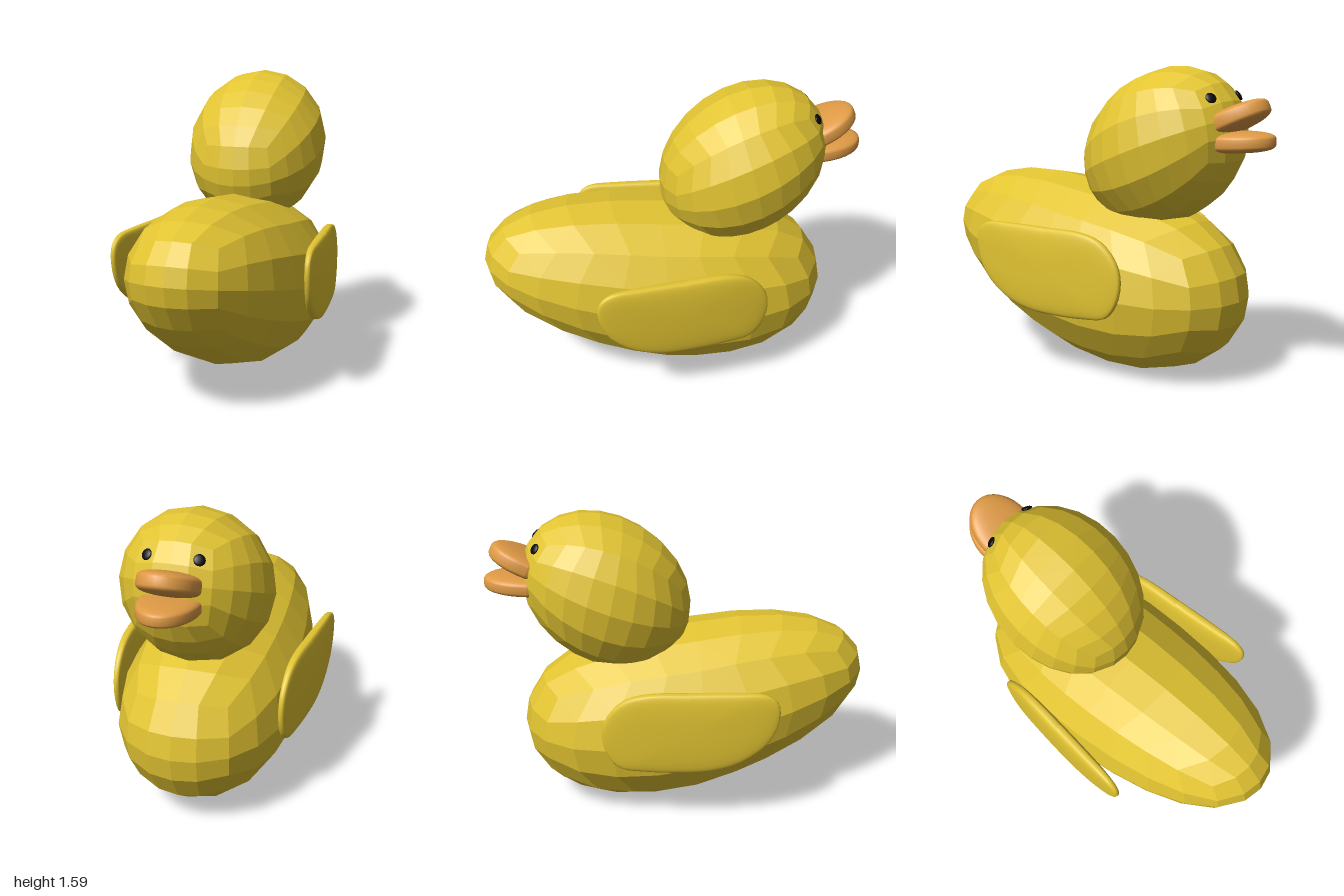
import * as THREE from 'three';

const yellow = new THREE.MeshStandardMaterial({ color: 0xe2c432 });
const orange = new THREE.MeshStandardMaterial({ color: 0xdf9a45 });
const black = new THREE.MeshStandardMaterial({ color: 0x080808 });

const rad = THREE.MathUtils.degToRad;

// Moves every vertex of a geometry by a rule.
function deform(geometry, rule) {
  const p = geometry.attributes.position;
  const v = new THREE.Vector3();
  for (let i = 0; i < p.count; i++) {
    v.fromBufferAttribute(p, i);
    rule(v);
    p.setXYZ(i, v.x, v.y, v.z);
  }
  geometry.computeVertexNormals();
  return geometry;
}

// Unit sphere made of quads, like an inflated box; sideAngle is the z half-span of its sides.
function quadSphere(zSegments, sideAngle) {
  const a = Math.PI / 4;
  return deform(new THREE.BoxGeometry(2, 2, 2, 4, 4, zSegments), (v) => {
    v.set(Math.tan(v.x * a), Math.tan(v.y * a), Math.tan(v.z * rad(sideAngle))).normalize();
  });
}

// One flat normal per quad, each quad split along its convex diagonal.
function facetQuads(geometry) {
  const src = geometry.attributes.position;
  const idx = geometry.index.array;
  const positions = [];
  const normals = [];
  for (let i = 0; i < idx.length; i += 6) {
    const [a, b, c, d] = [idx[i], idx[i + 1], idx[i + 4], idx[i + 2]]
      .map((k) => new THREE.Vector3().fromBufferAttribute(src, k));
    const n = c.clone().sub(a).cross(d.clone().sub(b)).normalize();
    const plane = new THREE.Plane().setFromCoplanarPoints(a, b, d);
    const corners = plane.distanceToPoint(c) > 0 ? [a, b, c, a, c, d] : [a, b, d, b, c, d];
    for (const q of corners) {
      positions.push(q.x, q.y, q.z);
      normals.push(n.x, n.y, n.z);
    }
  }
  const g = new THREE.BufferGeometry();
  g.setAttribute('position', new THREE.Float32BufferAttribute(positions, 3));
  g.setAttribute('normal', new THREE.Float32BufferAttribute(normals, 3));
  return g;
}

function named(name, geometry, material) {
  const mesh = new THREE.Mesh(geometry, material);
  mesh.name = name;
  return mesh;
}

// Plump chest towards -z, raised narrower tail towards +z.
function makeBody() {
  const g = deform(quadSphere(8, 62), (v) => {
    const s = v.z;
    const rise = 0.05 * Math.max(s, 0) * (1 - s * s);
    const bulge = s < 0 ? 0.06 : 0.03;
    v.x *= 0.455 - 0.055 * s + 0.082 * s * s;
    v.y = 0.5 + 0.13 * s + 0.07 * s * s + rise + v.y * (0.47 - 0.05 * s + bulge * s * s);
    v.z = 0.083 + 0.917 * s;
  });
  return named('body', facetQuads(g), yellow);
}

// Egg leaning forward and up.
const headCentre = new THREE.Vector3(0, 1.176, -0.375);
const headSize = new THREE.Vector3(0.378, 0.374, 0.471);
const headTilt = rad(38);

function makeHead() {
  const g = quadSphere(8, 60);
  g.rotateX(rad(-20)).scale(headSize.x, headSize.y, headSize.z).rotateX(headTilt);
  const head = named('head', facetQuads(g), yellow);
  head.position.copy(headCentre);
  return head;
}

// Flat disc resting on the head surface.
function makeEye(side) {
  const xAxis = new THREE.Vector3(1, 0, 0);
  const d = new THREE.Vector3(side * 0.137, 0.295, -0.385).applyAxisAngle(xAxis, -headTilt);
  d.divide(headSize).normalize();
  const normal = d.clone().divide(headSize).normalize().applyAxisAngle(xAxis, headTilt);
  const eye = named(side > 0 ? 'leftEye' : 'rightEye', new THREE.SphereGeometry(1, 20, 12), black);
  eye.scale.set(0.028, 0.028, 0.01);
  eye.position.copy(d.multiply(headSize).applyAxisAngle(xAxis, headTilt)).add(headCentre);
  eye.quaternion.setFromUnitVectors(new THREE.Vector3(0, 0, 1), normal);
  return eye;
}

// Bill half: a thick rounded pad with a blunt rim.
function makeBill(name, y, z, length, thickness, tilt) {
  const g = deform(new THREE.SphereGeometry(1, 32, 28), (v) => {
    v.y = Math.sign(v.y) * Math.pow(Math.abs(v.y), 0.5);
    v.set(v.x * 0.148, v.y * thickness, v.z * length);
  });
  const bill = named(name, g, orange);
  bill.position.set(0, y, z);
  bill.rotation.x = rad(tilt);
  return bill;
}

// Wing outline in (z, y), padded and thinning to both ends, splayed out towards the tail.
const wingOutline = new THREE.CatmullRomCurve3([
  [0.46, 0.64], [0.45, 0.73], [0.39, 0.775], [0.25, 0.785], [0, 0.785], [-0.2, 0.783],
  [-0.32, 0.75], [-0.41, 0.66], [-0.437, 0.56], [-0.41, 0.44], [-0.35, 0.37], [-0.22, 0.348],
  [-0.05, 0.34], [0.13, 0.35], [0.28, 0.4], [0.41, 0.51],
].map(([z, y]) => new THREE.Vector3(0, y, z)), true);

function makeWing(side) {
  const centre = new THREE.Vector3(0, 0.575, 0);
  const g = deform(new THREE.SphereGeometry(1, 48, 28).rotateZ(-Math.PI / 2), (v) => {
    const turn = (Math.atan2(v.y, v.z) / (2 * Math.PI) + 1) % 1;
    const rim = wingOutline.getPoint(turn);
    const radius = Math.min(1, Math.hypot(v.y, v.z));
    const pad = Math.sign(v.x) * Math.pow(Math.abs(v.x), 0.5);
    v.lerpVectors(centre, rim, radius);
    v.x = pad * 0.041 * (1 - 1.3 * v.z * v.z);
  });
  const wing = named(side > 0 ? 'leftWing' : 'rightWing', g, yellow);
  wing.position.x = side * 0.479;
  wing.rotation.y = side * Math.atan(0.085);
  return wing;
}

export function createModel() {
  const duck = new THREE.Group();
  duck.name = 'toyDuck';
  duck.add(
    makeBody(),
    makeHead(),
    makeBill('upperBill', 1.335, -0.775, 0.2, 0.059, 25),
    makeBill('lowerBill', 1.232, -0.78, 0.22, 0.053, 3),
  );
  for (const side of [1, -1]) duck.add(makeWing(side), makeEye(side));
  return duck;
}
